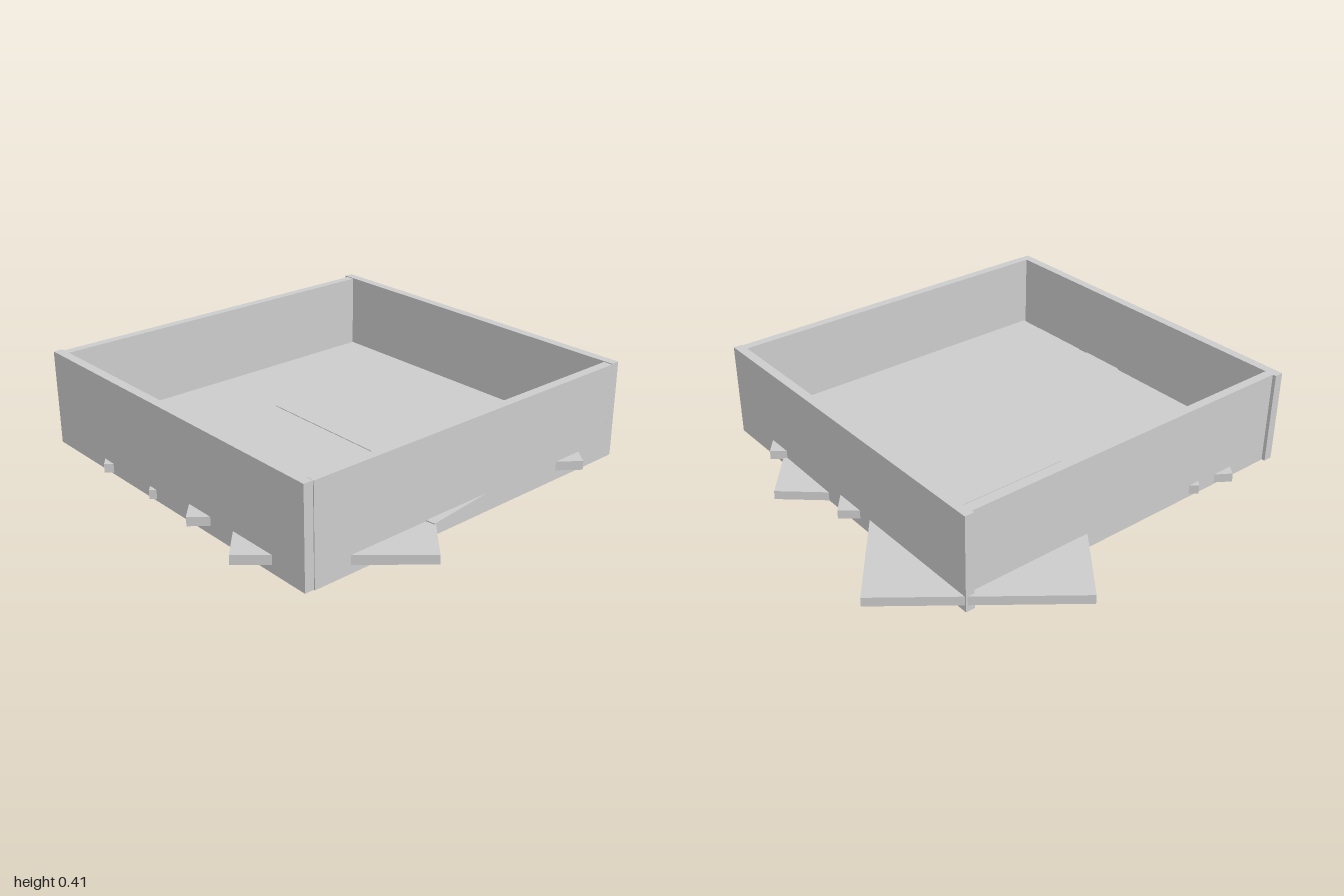
import * as THREE from 'three';

const material = new THREE.MeshStandardMaterial({ color: 0xcccccc, flatShading: true });

// Axis-aligned board given by its x, y and z ranges
function board(name, x0, x1, y0, y1, z0, z1) {
  const mesh = new THREE.Mesh(new THREE.BoxGeometry(x1 - x0, y1 - y0, z1 - z0), material);
  mesh.name = name;
  mesh.position.set((x0 + x1) / 2, (y0 + y1) / 2, (z0 + z1) / 2);
  return mesh;
}

// Loose plate: one long edge runs from a to b (x, z), the plate lies to one side of it.
// ya and yb are the underside heights at both ends, giving a slight tilt.
function plate(name, a, b, ya, yb, width = 0.5, thick = 0.037) {
  const dx = b[0] - a[0], dz = b[1] - a[1];
  const length = Math.hypot(dx, dz);
  const mesh = new THREE.Mesh(new THREE.BoxGeometry(length, thick, width), material);
  mesh.name = name;
  mesh.position.set(
    (a[0] + b[0]) / 2 + (dz / length) * width / 2,
    (ya + yb) / 2 + thick / 2,
    (a[1] + b[1]) / 2 - (dx / length) * width / 2
  );
  mesh.rotation.set(0, Math.atan2(-dz, dx), Math.atan2(yb - ya, length), 'YXZ');
  return mesh;
}

export function createModel() {
  const model = new THREE.Group();
  model.name = 'openTray';

  // Four upright walls
  const walls = new THREE.Group();
  walls.name = 'walls';
  const front = board('frontWall', -0.735, 0.805, 0.02, 0.412, 0.83, 0.868);
  front.rotation.y = 0.006;
  const back = board('backWall', -0.735, 0.808, 0.02, 0.415, -0.705, -0.667);
  back.rotation.y = 0.004;
  walls.add(
    front,
    back,
    board('rightWall', -0.72, -0.683, 0.018, 0.412, -0.70, 0.835),
    board('leftWall', 0.77, 0.808, 0.018, 0.412, -0.70, 0.825)
  );
  model.add(walls);

  // Floor inside the walls
  model.add(board('floor', -0.685, 0.772, 0.06, 0.096, -0.67, 0.815));

  // Straight plate lying just proud of the floor
  model.add(board('straightPlate', -0.31, 0.40, 0.058, 0.099, -0.40, 0.10));

  // Turned plates slipped under the floor, their corners poking past the walls
  const plates = new THREE.Group();
  plates.name = 'loosePlates';
  const layout = [
    ['backRightPlate', [-0.515, -0.98], [-1.0, -0.35], 0.047, 0.047],
    ['backMiddlePlate', [-0.04, -0.77], [-0.48, -0.22], 0.055, 0.055],
    ['backLeftPlate', [0.26, -0.87], [-0.18, -0.32], 0.026, 0.006],
    ['leftBackPlate', [0.48, -0.76], [0.04, -0.20], 0.058, 0.057],
    ['leftMiddlePlate', [0.845, 0.32], [0.76, -0.37], 0.056, 0.056],
    ['frontLeftPlate', [0.545, 0.97], [1.0, 0.45], 0.052, 0.052],
    ['frontInnerPlate', [0.24, 0.93], [0.70, 0.40], 0.054, 0.056],
    ['frontMiddlePlate', [-0.06, 0.89], [0.39, 0.35], 0.029, 0.012],
    ['frontRightPlate', [-0.36, 0.90], [0.08, 0.30], 0.028, 0.002],
    ['rightMiddlePlate', [-0.29, -0.10], [-0.745, 0.43], 0.02, 0.034],
  ];
  for (const [name, a, b, ya, yb] of layout) plates.add(plate(name, a, b, ya, yb));
  model.add(plates);

  return model;
}
